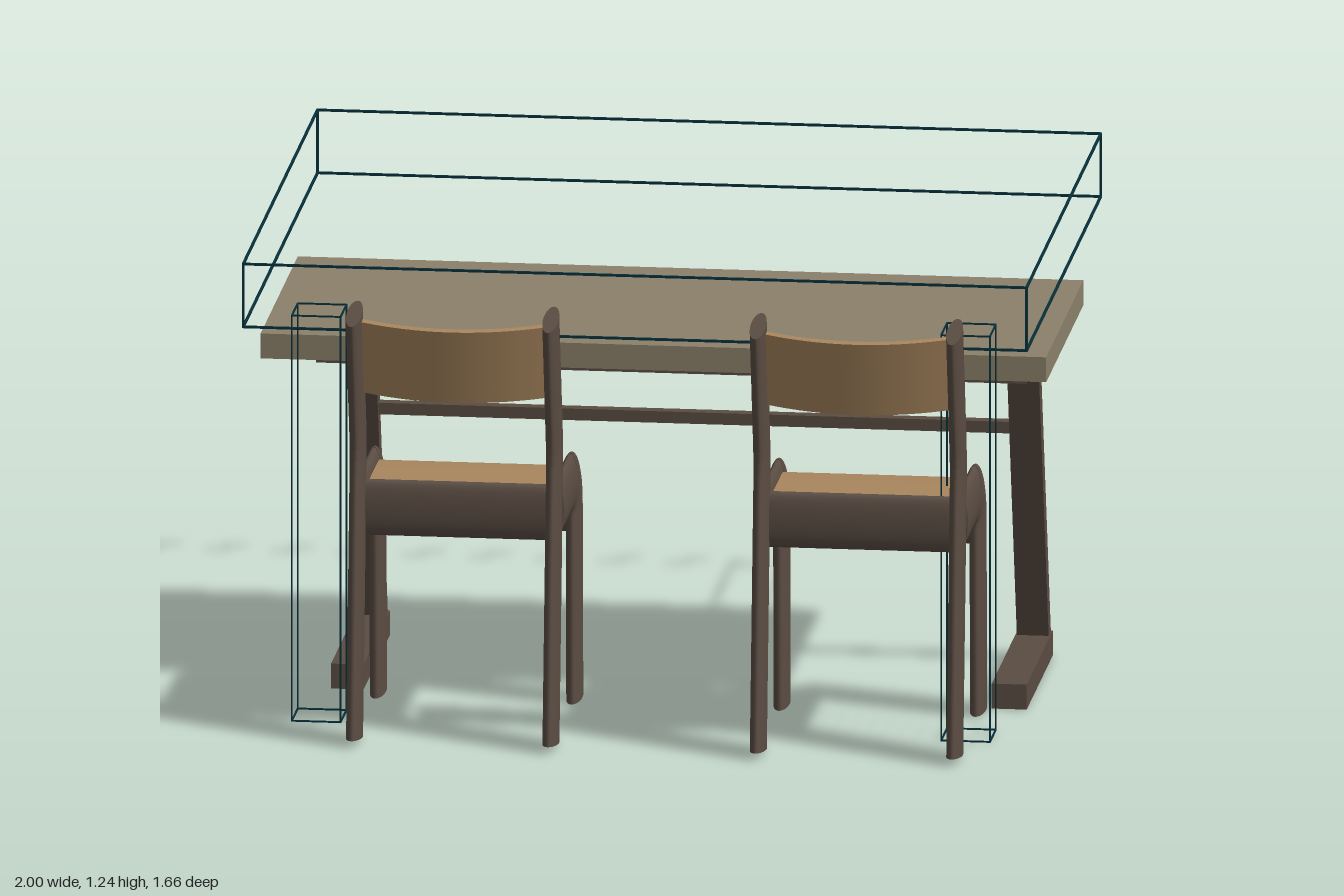
import * as THREE from 'three';

const mat = (name, color, side = THREE.FrontSide) => {
  const m = new THREE.MeshStandardMaterial({ color, side });
  m.name = name;
  return m;
};

export function createModel() {
  const root = new THREE.Group();
  root.name = 'deskWithChairs';
  const taupe = mat('taupe top', 0x8b806a);
  const brown = mat('dark brown', 0x5a4c42);
  const tan = mat('tan plywood', 0xa8865e, THREE.DoubleSide);
  const teal = mat('dark outline', 0x06303a);

  const add = (parent, name, geo, material) => {
    const m = new THREE.Mesh(geo, material);
    m.name = name;
    parent.add(m);
    return m;
  };
  // Box given by its limits on each axis
  const box = (parent, name, material, x0, x1, y0, y1, z0, z1) => {
    const m = add(parent, name, new THREE.BoxGeometry(x1 - x0, y1 - y0, z1 - z0), material);
    m.position.set((x0 + x1) / 2, (y0 + y1) / 2, (z0 + z1) / 2);
    return m;
  };

  // Table: top and apron frame
  const table = new THREE.Group();
  table.name = 'table';
  root.add(table);
  box(table, 'tableTop', taupe, -1, 1, 0.885, 0.95, -0.437, 0.345);
  for (const [z0, z1] of [[-0.315, -0.275], [0.195, 0.235]])
    box(table, 'longApron', brown, -0.872, 0.935, 0.85, 0.885, z0, z1);
  // Side aprons, slanted legs and feet
  for (const [a0, a1, x0, x1] of [[-0.872, -0.755, -0.83, -0.755], [0.85, 0.935, 0.852, 0.933]]) {
    box(table, 'sideApron', brown, a0, a1, 0.85, 0.885, -0.275, 0.195);
    const leg = new THREE.BoxGeometry(x1 - x0, 0.79, 0.047);
    const p = leg.attributes.position;
    for (let i = 0; i < p.count; i++) p.setZ(i, p.getZ(i) + 0.278 * p.getY(i));
    leg.computeVertexNormals();
    add(table, 'tableLeg', leg, brown).position.set((x0 + x1) / 2, 0.4575, -0.174);
    box(table, 'tableFoot', brown, x0 - 0.004, x1 + 0.004, 0, 0.065, -0.315, 0.235);
  }
  box(table, 'crossBar', brown, -0.76, 0.86, 0.63, 0.66, -0.14, -0.108);

  // Chair frame: flattened tubes joined end to end along [z, y] paths
  const tube = new THREE.CylinderGeometry(1, 1, 1, 24);
  const rearPath = [[0.757, 0.011], [0.683, 0.69], [0.6805, 0.73], [0.682, 0.765], [0.688, 0.80], [0.76, 1.117]];
  const frontPath = [[0.65, 0.593]];
  for (let i = 0; i <= 6; i++) {
    const a = (i / 6) * 1.545;
    frontPath.push([0.36 - 0.093 * Math.sin(a), 0.5 + 0.093 * Math.cos(a)]);
  }
  frontPath.push([0.255, 0.003]);

  const chain = (parent, name, path, x) => {
    for (let i = 1; i < path.length; i++) {
      const [z0, y0] = path[i - 1], [z1, y1] = path[i];
      const m = add(parent, name, tube, brown);
      m.scale.set(0.02, Math.hypot(z1 - z0, y1 - y0), 0.073);
      m.rotation.x = Math.atan2(z1 - z0, y1 - y0);
      m.position.set(x, (y0 + y1) / 2, (z0 + z1) / 2);
    }
  };
  const rail = (parent, name, y, z) => {
    const m = add(parent, name, tube, brown);
    m.scale.set(0.073, 0.5, 0.02);
    m.rotation.z = Math.PI / 2;
    m.position.set(0, y, z);
  };

  const makeChair = (x) => {
    const chair = new THREE.Group();
    chair.name = 'chair';
    chair.position.x = x;
    root.add(chair);
    for (const s of [-0.25, 0.25]) {
      chain(chair, 'rearPost', rearPath, s);
      chain(chair, 'frontLeg', frontPath, s);
    }
    rail(chair, 'rearRail', 0.593, 0.677);
    rail(chair, 'frontRail', 0.513, 0.275);

    // Seat with a front edge that rolls down
    const seat = new THREE.BoxGeometry(0.48, 0.016, 0.40, 1, 1, 12);
    let p = seat.attributes.position;
    for (let i = 0; i < p.count; i++) {
      const d = Math.max(0, -0.08 - p.getZ(i));
      p.setY(i, p.getY(i) - 3.5 * d * d);
    }
    seat.computeVertexNormals();
    add(chair, 'seat', seat, tan).position.set(0, 0.63, 0.47);

    // Backrest bowed towards the rear and tilted with the posts
    const back = new THREE.BoxGeometry(0.48, 0.2, 0.018, 20, 1, 1);
    p = back.attributes.position;
    for (let i = 0; i < p.count; i++)
      p.setZ(i, p.getZ(i) + 0.045 * (1 - (p.getX(i) / 0.24) ** 2));
    back.computeVertexNormals();
    const b = add(chair, 'backrest', back, tan);
    b.position.set(0, 1.003, 0.733);
    b.rotation.x = 0.225;
  };
  makeChair(-0.461);
  makeChair(0.567);

  // Thin outline frames: one large slab above and two posts
  const outline = (name, x0, x1, y0, y1, z0, z1, t) => {
    const g = new THREE.Group();
    g.name = name;
    root.add(g);
    const bar = (...b) => box(g, 'outlineBar', teal, ...b);
    for (const y of [y0, y1 - t]) {
      for (const z of [z0, z1 - t]) bar(x0, x1, y, y + t, z, z + t);
      for (const x of [x0, x1 - t]) bar(x, x + t, y, y + t, z0, z1);
    }
    for (const x of [x0, x1 - t])
      for (const z of [z0, z1 - t]) bar(x, x + t, y0, y1, z, z + t);
  };
  outline('slabOutline', -1, 1, 1.065, 1.235, -0.83, 0.738, 0.006);
  outline('postOutline', -0.893, -0.765, 0.003, 1.065, 0.462, 0.59, 0.004);
  outline('postOutline', 0.76, 0.888, 0.003, 1.065, 0.462, 0.59, 0.004);

  return root;
}
